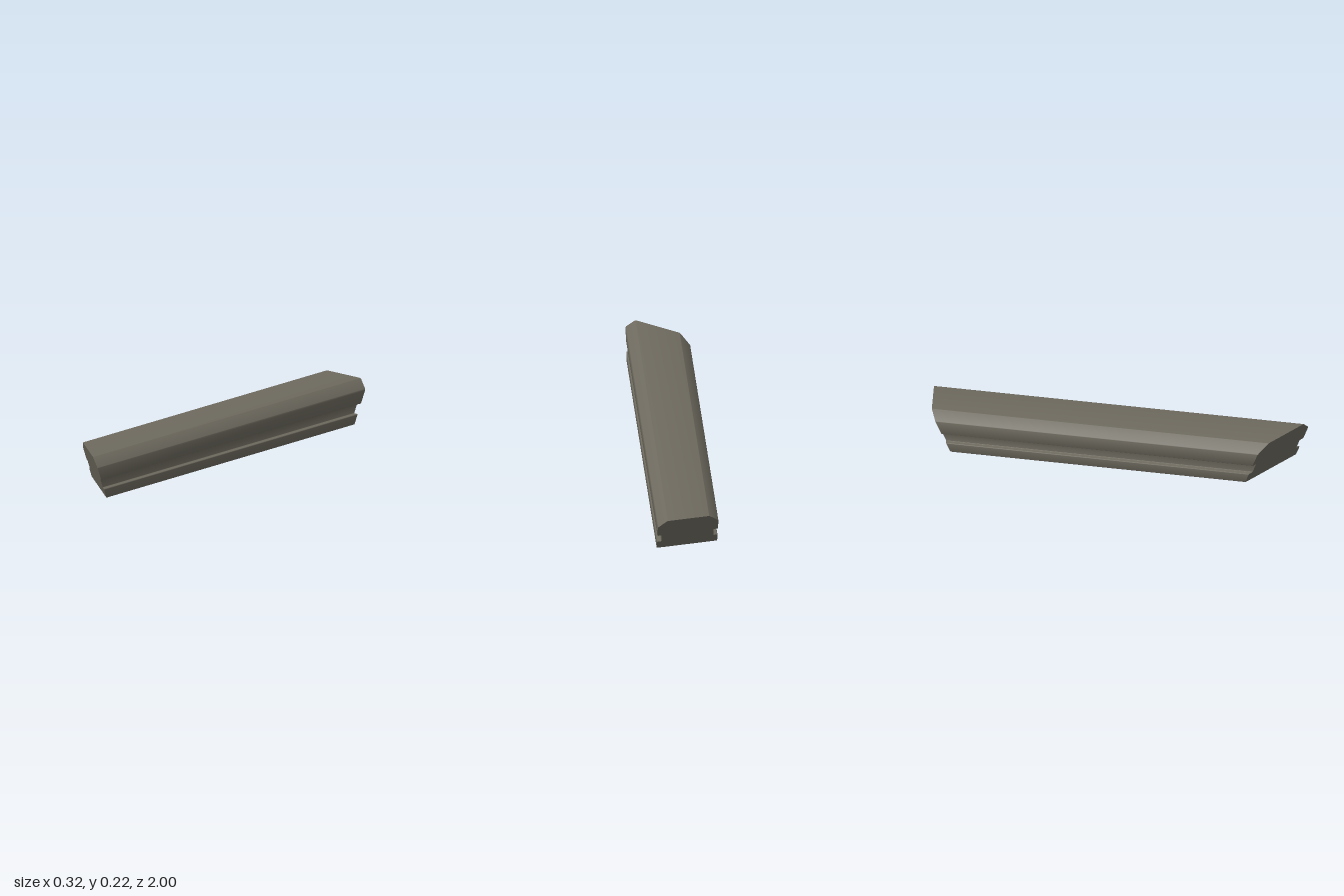
import * as THREE from 'three';
import { toCreasedNormals } from 'three/addons/utils/BufferGeometryUtils.js';

// Closed outline with every corner softened by a short curve
function roundedOutline(points, trim) {
  const shape = new THREE.Shape();
  const n = points.length;
  points.forEach((p, i) => {
    const towards = (q) => p.clone().add(q.clone().sub(p).setLength(trim));
    const a = towards(points[(i + n - 1) % n]);
    const b = towards(points[(i + 1) % n]);
    if (i === 0) shape.moveTo(a.x, a.y);
    else shape.lineTo(a.x, a.y);
    shape.quadraticCurveTo(p.x, p.y, b.x, b.y);
  });
  shape.closePath();
  return shape;
}

// Slanted planes that cut the two ends of the bar
const frontCut = (x, y) => 1.0 + 0.65 * (x - 0.162) + 0.37 * (y - 0.177);
const backCut = (x, y) => -0.982 - 0.14 * (x - 0.162) - 0.46 * (y - 0.177);

export function createModel() {
  const group = new THREE.Group();
  const stone = new THREE.MeshStandardMaterial({ color: 0x6e6a5f });
  stone.name = 'grey brown';

  // Right half of the section: foot, side groove, upper side, chamfered top
  const half = [
    [0.162, 0], [0.162, 0.053], [0.139, 0.053], [0.139, 0.105],
    [0.162, 0.105], [0.162, 0.177], [0.112, 0.225],
  ];
  const right = half.map(([x, y]) => new THREE.Vector2(x, y));
  const left = half.map(([x, y]) => new THREE.Vector2(-x, y)).reverse();
  const outline = roundedOutline([...right, ...left], 0.005);

  // Extrude the section, then stretch it between the two end cuts
  const bar = new THREE.ExtrudeGeometry(outline, { depth: 1, bevelEnabled: false, curveSegments: 4 });
  const pos = bar.attributes.position;
  for (let i = 0; i < pos.count; i++) {
    const x = pos.getX(i), y = pos.getY(i);
    pos.setZ(i, THREE.MathUtils.lerp(backCut(x, y), frontCut(x, y), pos.getZ(i)));
  }
  bar.clearGroups();

  const mesh = new THREE.Mesh(toCreasedNormals(bar, 0.6), stone);
  mesh.name = 'groovedBar';
  group.add(mesh);
  return group;
}
